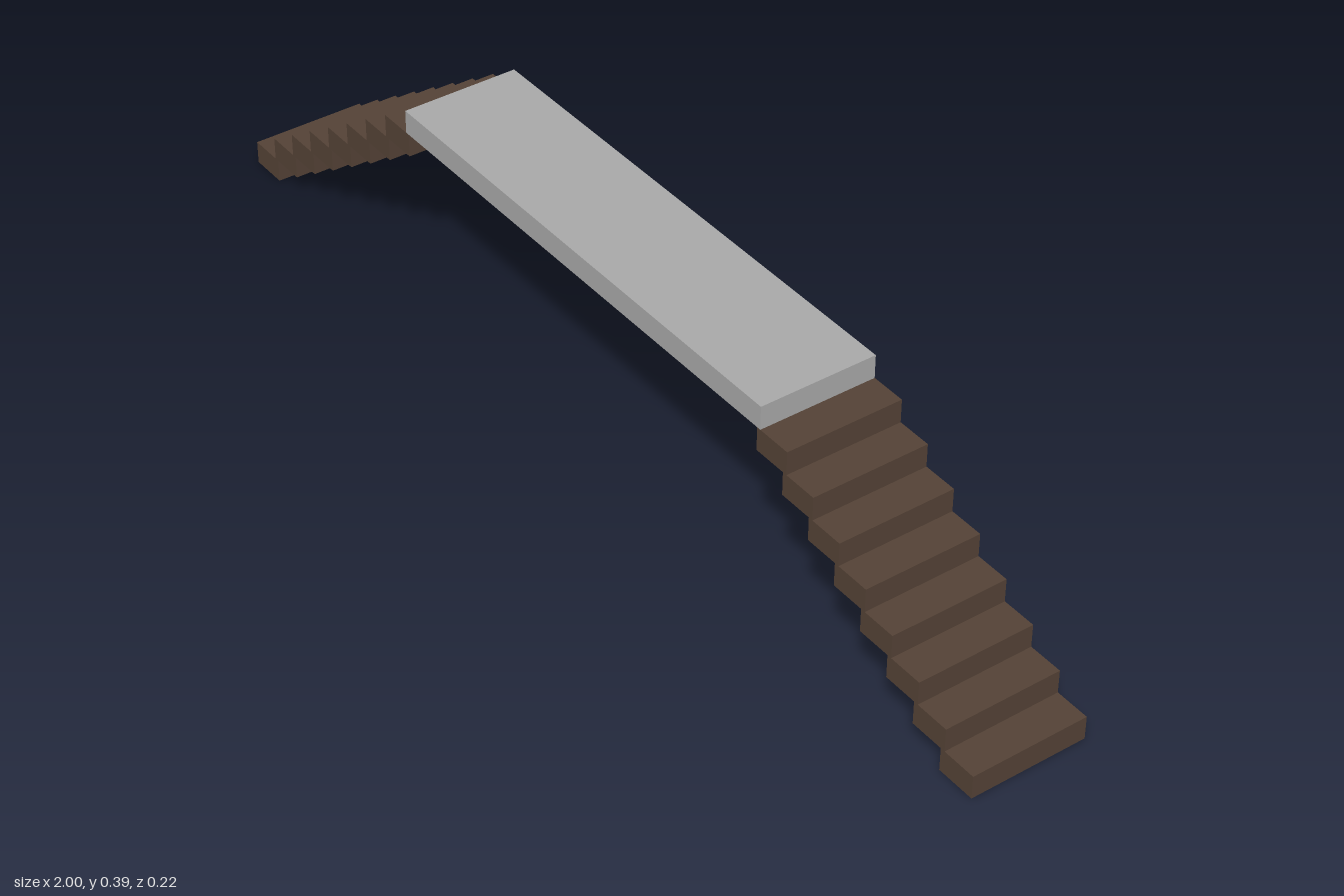
import * as THREE from 'three';

const STEPS = 8;
const RISE = 0.0431;   // height of a step and of the deck
const TREAD = 0.073;   // length of a step
const PITCH = 0.0644;  // horizontal spacing, leaving a small overlap
const DEPTH = 0.216;

export function createModel() {
  const wood = new THREE.MeshStandardMaterial({ color: 0x544236 });
  wood.name = 'dark brown';
  const stone = new THREE.MeshStandardMaterial({ color: 0xa8a8a8 });
  stone.name = 'grey';

  const model = new THREE.Group();
  model.name = 'footbridge';

  // Flat deck resting on the top steps
  const deck = new THREE.Mesh(new THREE.BoxGeometry(0.968, RISE, DEPTH), stone);
  deck.name = 'deck';
  deck.position.y = (STEPS + 0.5) * RISE;
  model.add(deck);

  // Mirrored flights of floating steps climbing to the deck
  const stepGeometry = new THREE.BoxGeometry(TREAD, RISE, DEPTH);
  for (const side of [-1, 1]) {
    const stairs = new THREE.Group();
    stairs.name = side > 0 ? 'leftStairs' : 'rightStairs';
    for (let i = 0; i < STEPS; i++) {
      const step = new THREE.Mesh(stepGeometry, wood);
      step.name = `step${i + 1}`;
      step.position.set(side * (1 - TREAD / 2 - i * PITCH), (i + 0.5) * RISE, 0);
      stairs.add(step);
    }
    model.add(stairs);
  }
  return model;
}
